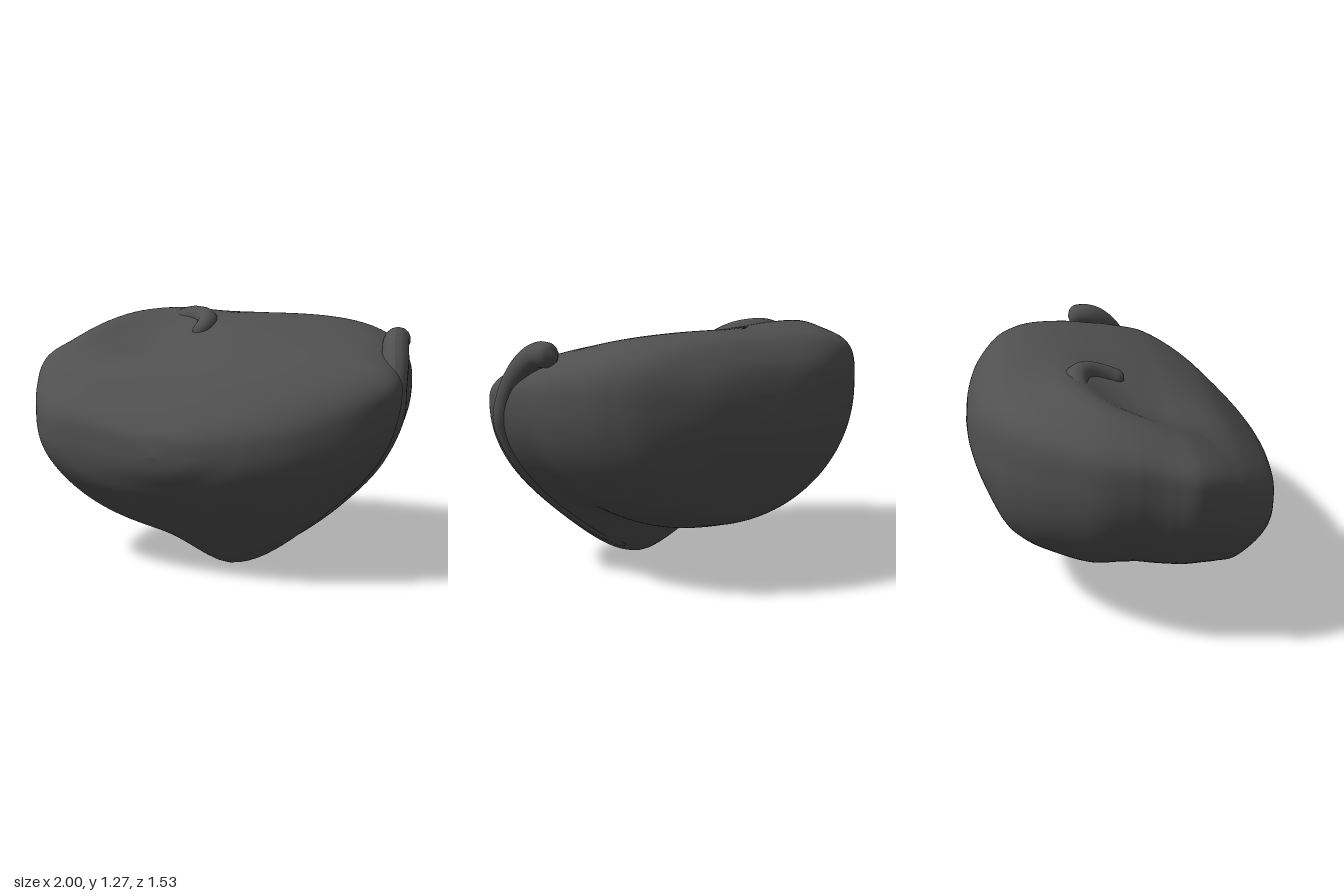
import * as THREE from 'three';

// Smooth lookup through evenly spaced values
function track(values) {
  const curve = new THREE.SplineCurve(values.map((v, i) => new THREE.Vector2(i, v)));
  return (t) => curve.getPoint(t).y;
}

// Stations from back to front: z, right x, left x, widest y, top y, bowl bottom y, lip depth
const stations = [
  [-0.765, 0.05, 0.05, 0.87, 0.87, 0.87, 0],
  [-0.75, -0.15, 0.28, 0.87, 0.98, 0.76, 0],
  [-0.7, -0.39, 0.46, 0.88, 1.1, 0.62, 0],
  [-0.6, -0.61, 0.66, 0.9, 1.195, 0.4, 0],
  [-0.5, -0.74, 0.77, 0.92, 1.23, 0.31, 0],
  [-0.38, -0.84, 0.85, 0.92, 1.24, 0.265, 0],
  [-0.2, -0.94, 0.92, 0.92, 1.22, 0.22, 0],
  [-0.05, -0.97, 0.945, 0.92, 1.19, 0.225, 0],
  [0.03, -0.975, 0.96, 0.92, 1.172, 0.22, 0.01],
  [0.09, -0.98, 0.97, 0.91, 1.157, 0.21, 0.08],
  [0.15, -0.99, 0.985, 0.9, 1.138, 0.205, 0.16],
  [0.24, -1, 0.99, 0.89, 1.108, 0.2, 0.2],
  [0.33, -0.97, 0.94, 0.86, 1.07, 0.2, 0.165],
  [0.42, -0.92, 0.86, 0.81, 1.025, 0.2, 0.08],
  [0.5, -0.87, 0.76, 0.75, 0.975, 0.22, 0.01],
  [0.6, -0.78, 0.61, 0.69, 0.89, 0.32, 0],
  [0.67, -0.66, 0.46, 0.66, 0.825, 0.405, 0],
  [0.71, -0.48, 0.33, 0.65, 0.78, 0.47, 0],
  [0.75, -0.2, 0.16, 0.63, 0.72, 0.55, 0],
  [0.765, -0.02, -0.02, 0.63, 0.63, 0.63, 0],
];
const tracks = stations[0].map((_, c) => track(stations.map((row) => row[c])));

// Shallow dish with a curled bank around it on the upper right side
function swirl(x, z) {
  const dx = x + 0.4, dz = z - 0.12;
  const r = Math.hypot(dx, dz);
  const facing = Math.max(0, (-dx * 0.6 - dz * 0.8) / (r + 0.001));
  const bank = 0.05 * Math.exp(-(((r - 0.38) / 0.13) ** 2)) * facing;
  return bank - 0.06 * Math.exp(-((r / 0.25) ** 2));
}

// Pointed lip under the bowl, longer towards the left
function lipShape(x) {
  return Math.exp(-(((x - 0.16) / (x < 0.16 ? 0.3 : 0.46)) ** 2));
}

// Surface point: nearly flat above the widest line, a bowl with a lip below it
function surfacePoint(t, angle, inset = 1) {
  const [z, x0, x1, mid, top, bottom, lip] = tracks.map((f) => f(t));
  const c = Math.cos(angle), s = Math.sin(angle);
  const above = s >= 0;
  const power = above ? 2 / (c < 0 ? 4 : 3) : 1;
  const lift = Math.abs(s) ** power;
  const x = (x0 + x1) / 2 + ((x1 - x0) / 2) * inset * Math.sign(c) * Math.abs(c) ** power;
  const y = above
    ? mid + (top - mid) * lift + swirl(x, z) * THREE.MathUtils.smoothstep(lift, 0.5, 0.95)
    : mid - ((mid - bottom) * inset + lip * lipShape(x)) * lift;
  return new THREE.Vector3(x, y, z);
}

function shellGeometry() {
  const rings = 133, sides = 128, positions = [], index = [];
  for (let i = 0; i <= rings; i++) {
    for (let j = 0; j < sides; j++) {
      positions.push(...surfacePoint(i / rings, (j / sides) * Math.PI * 2).toArray());
    }
  }
  for (let i = 0; i < rings; i++) {
    for (let j = 0; j < sides; j++) {
      const k = (j + 1) % sides;
      const a = i * sides + j, a1 = i * sides + k;
      index.push(a, a1, a + sides, a1, a1 + sides, a + sides);
    }
  }
  const g = new THREE.BufferGeometry();
  g.setAttribute('position', new THREE.Float32BufferAttribute(positions, 3));
  g.setIndex(index);
  g.computeVertexNormals();
  return g;
}

// Tube whose radius varies along a smooth path, with rounded ends
function taperedTube(points, radii, steps) {
  const sides = 14;
  const path = new THREE.CatmullRomCurve3(points);
  const g = new THREE.TubeGeometry(path, steps, 1, sides, false);
  const radius = track(radii);
  const pos = g.attributes.position, nor = g.attributes.normal;
  const length = path.getLength();
  for (let i = 0; i < pos.count; i++) {
    const t = Math.floor(i / (sides + 1)) / steps;
    const r = radius(t);
    const end = Math.min(1, (Math.min(t, 1 - t) * length) / r);
    const s = r * Math.sqrt(1 - (1 - end) ** 2) - 1;
    pos.setXYZ(i, pos.getX(i) + nor.getX(i) * s, pos.getY(i) + nor.getY(i) * s, pos.getZ(i) + nor.getZ(i) * s);
  }
  g.computeVertexNormals();
  return g;
}

export function createModel() {
  const group = new THREE.Group();
  const charcoal = new THREE.MeshStandardMaterial({ color: 0x505050 });
  charcoal.name = 'charcoal';
  const add = (name, geometry) => {
    const mesh = new THREE.Mesh(geometry, charcoal);
    mesh.name = name;
    group.add(mesh);
  };
  const vectors = (list) => list.map((p) => new THREE.Vector3(...p));

  add('shellBody', shellGeometry());

  // Horn on the left shoulder, running down the side as a low rim into the lip
  const rim = [-0.15, -0.45, -0.75, -1.05, -1.3].map((angle) => surfacePoint(0.545, angle, 0.97));
  add('hornAndRim', taperedTube([
    ...vectors([[0.865, 1.14, -0.17], [0.88, 1.135, -0.05], [0.915, 1.05, 0.06], [0.94, 0.93, 0.14]]),
    ...rim,
  ], [0.06, 0.065, 0.055, 0.045, 0.04, 0.035, 0.03, 0.03], 120));

  // Small curled hook at the centre of the swirl
  add('hook', taperedTube(vectors([
    [-0.18, 1.14, 0.02], [-0.18, 1.17, -0.07], [-0.22, 1.205, -0.17],
    [-0.33, 1.215, -0.23], [-0.47, 1.18, -0.22], [-0.62, 1.12, -0.14],
  ]), [0.045, 0.055, 0.06, 0.06, 0.05, 0.03], 48));

  return group;
}
